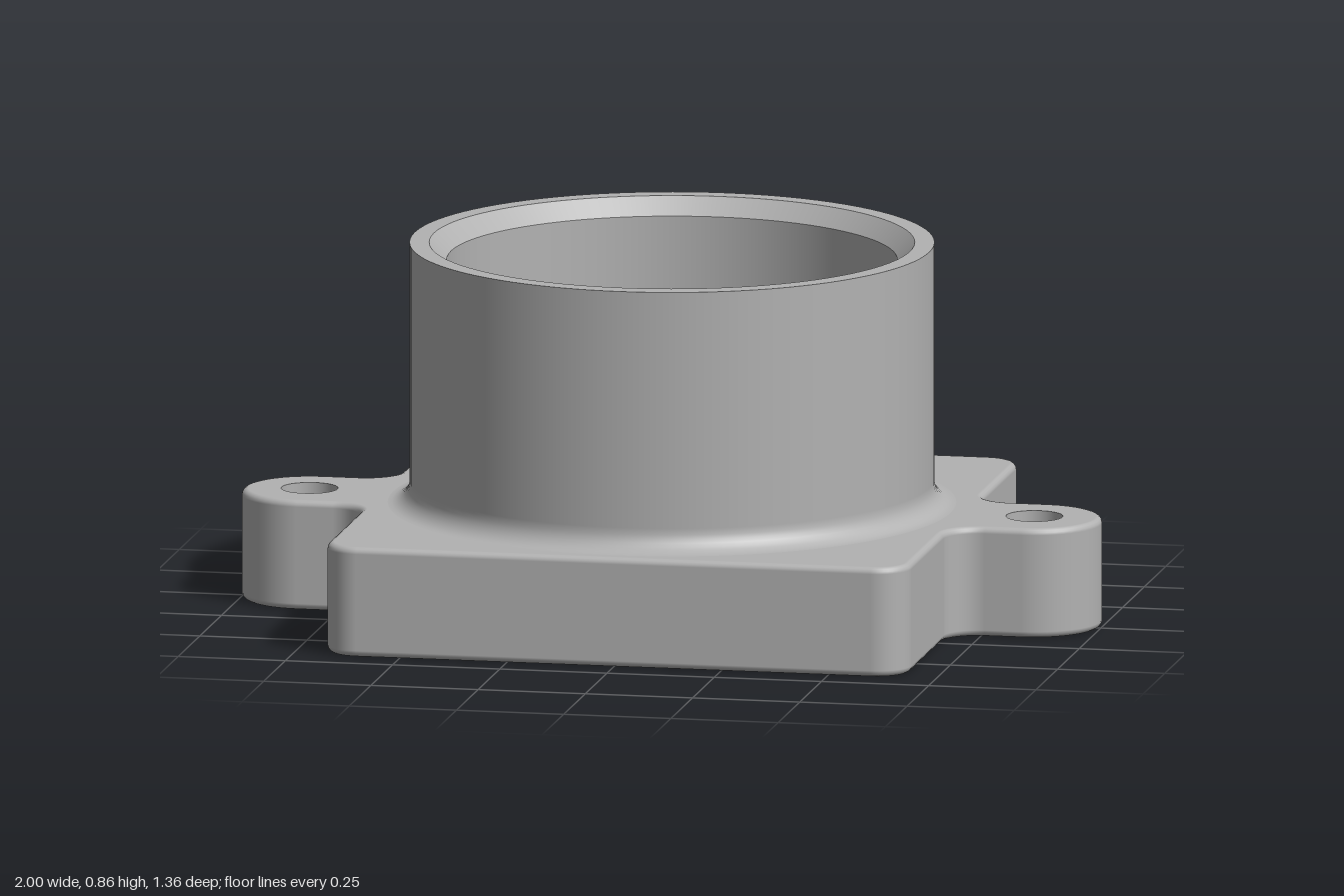
import * as THREE from 'three';

const PLATE_H = 0.255, EDGE = 0.015, TOP = 0.86;
const HOLE_X = 0.845, HOLE_R = 0.065;
const grey = new THREE.MeshStandardMaterial({ color: 0xb2b2b2 });
grey.name = 'grey plastic';

// Plate outline as tangent arcs: centre x, y, radius, start and end angle, side (-1 = concave)
const ARCS = [
  [0.60, -0.60, 0.08, -90, 0, 1],
  [0.76, -0.235, 0.08, 180, 90, -1],
  [HOLE_X, 0, 0.155, -90, 90, 1],
  [0.76, 0.235, 0.08, 270, 180, -1],
  [0.60, 0.60, 0.08, 0, 90, 1],
];

// Outline points with their outward normals; the second half is the first turned by 180 degrees
function outline() {
  const out = [];
  for (const turn of [1, -1]) {
    for (const [cx, cy, r, a0, a1, side] of ARCS) {
      const n = Math.abs(a1 - a0) / 7.5;
      for (let i = 0; i <= n; i++) {
        const a = THREE.MathUtils.degToRad(a0 + (a1 - a0) * i / n);
        const dx = Math.cos(a) * turn, dy = Math.sin(a) * turn;
        out.push({ x: cx * turn + r * dx, y: cy * turn + r * dy, nx: dx * side, ny: dy * side });
      }
    }
  }
  return out;
}

// Side skin of the plate with rounded upper and lower edges
function plateSide(pts) {
  const rings = [], pos = [], nor = [], idx = [];
  for (let i = -4; i <= 4; i++) {
    const a = i / 4 * Math.PI / 2;
    if (i === 0) rings.push([0, EDGE], [0, PLATE_H - EDGE]);
    else rings.push([a, (i < 0 ? EDGE : PLATE_H - EDGE) + EDGE * Math.sin(a)]);
  }
  for (const [a, z] of rings) {
    const c = Math.cos(a), inset = EDGE * (1 - c);
    for (const p of pts) {
      pos.push(p.x - p.nx * inset, p.y - p.ny * inset, z);
      nor.push(p.nx * c, p.ny * c, Math.sin(a));
    }
  }
  const n = pts.length;
  for (let k = 0; k < rings.length - 1; k++) {
    for (let i = 0; i < n; i++) {
      const j = (i + 1) % n, a = k * n + i, b = k * n + j;
      idx.push(a, b, b + n, a, b + n, a + n);
    }
  }
  const g = new THREE.BufferGeometry();
  g.setAttribute('position', new THREE.Float32BufferAttribute(pos, 3));
  g.setAttribute('normal', new THREE.Float32BufferAttribute(nor, 3));
  g.setIndex(idx);
  return g.rotateX(-Math.PI / 2);
}

// Flat face of the plate with both screw holes
function plateFace(pts) {
  const s = new THREE.Shape(pts.map(p => new THREE.Vector2(p.x - p.nx * EDGE, p.y - p.ny * EDGE)));
  for (const x of [-HOLE_X, HOLE_X]) {
    s.holes.push(new THREE.Path().absarc(x, 0, HOLE_R, 0, Math.PI * 2, true));
  }
  return new THREE.ShapeGeometry(s, 24);
}

function lathe(points, segments = 96) {
  return new THREE.LatheGeometry(points.map(p => new THREE.Vector2(...p)), segments);
}

export function createModel() {
  const model = new THREE.Group();
  model.name = 'flangedSocket';
  const add = (name, geometry, parent = model) => {
    const m = new THREE.Mesh(geometry, grey);
    m.name = name;
    parent.add(m);
    return m;
  };

  // Base plate with two ears
  const plate = new THREE.Group();
  plate.name = 'basePlate';
  model.add(plate);
  const pts = outline();
  add('plateSide', plateSide(pts), plate);
  add('plateTop', plateFace(pts).rotateX(-Math.PI / 2).translate(0, PLATE_H, 0), plate);
  // The outline is symmetric, so the lower face is the same face turned over
  add('plateBottom', plateFace(pts).rotateX(Math.PI / 2), plate);
  for (const side of [1, -1]) {
    add(side > 0 ? 'leftScrewHole' : 'rightScrewHole',
      lathe([[HOLE_R, PLATE_H], [HOLE_R, 0]], 48), plate).position.x = side * HOLE_X;
  }

  // Barrel: filleted outer wall, flat rim, chamfer and bore, kept separate for sharp edges
  const barrel = new THREE.Group();
  barrel.name = 'barrel';
  model.add(barrel);
  const R = 0.6, F = 0.05, wall = [];
  for (let i = 0; i <= 8; i++) {
    const a = i / 8 * Math.PI / 2;
    wall.push([R + F - F * Math.sin(a), PLATE_H + F - F * Math.cos(a)]);
  }
  wall.push([R, PLATE_H + F + 0.005], [R, TOP]);
  add('outerWall', lathe(wall), barrel);
  add('rim', lathe([[R, TOP], [0.555, TOP]]), barrel);
  add('rimChamfer', lathe([[0.555, TOP], [0.515, TOP - 0.04]]), barrel);
  add('bore', lathe([[0.515, TOP - 0.04], [0.515, PLATE_H]]), barrel);
  return model;
}
